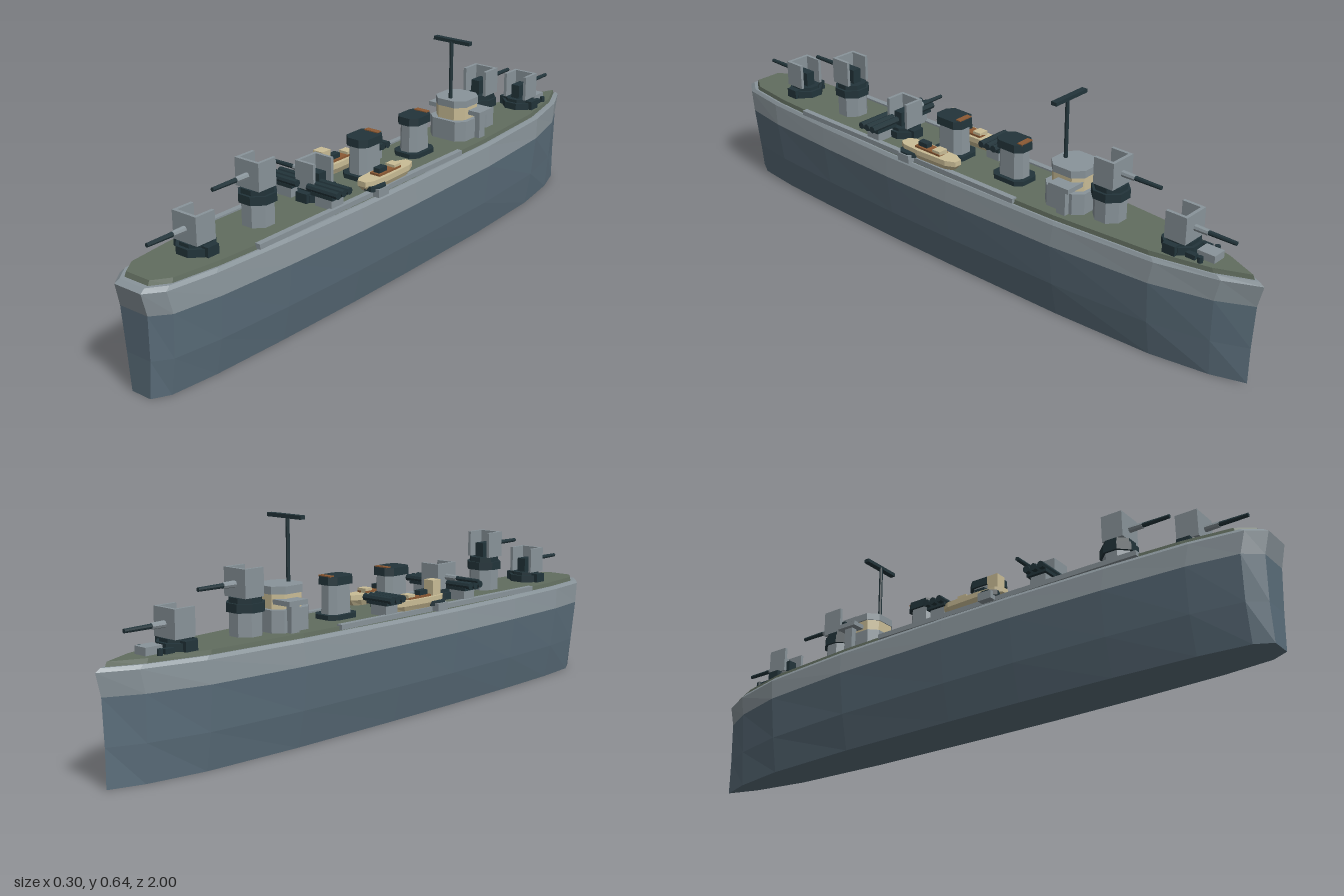
import * as THREE from 'three';

const mat = (name, color) => {
  const m = new THREE.MeshStandardMaterial({ color, flatShading: true });
  m.name = name;
  return m;
};

export function createModel() {
  const hullBlue = mat('hullBlue', 0x5b6e7b);
  const grey = mat('shipGrey', 0x89949a);
  const green = mat('deckGreen', 0x616d5f);
  const dark = mat('darkSteel', 0x22343a);
  const cream = mat('cream', 0xcabd96);
  const brown = mat('brown', 0x8c5a34);

  const ship = new THREE.Group();
  ship.name = 'warship';
  ship.position.x = 0.02;

  const add = (parent, name, geo, material, x = 0, y = 0, z = 0) => {
    const m = new THREE.Mesh(geo, material);
    m.name = name;
    m.position.set(x, y, z);
    parent.add(m);
    return m;
  };
  // box given by its centre in x and z and its bottom and top heights
  const box = (parent, name, material, x, z, w, d, y0, y1) =>
    add(parent, name, new THREE.BoxGeometry(w, y1 - y0, d), material, x, (y0 + y1) / 2, z);
  const drum = (parent, name, material, r, y0, y1, z = 0, x = 0, sides = 8) => {
    const g = new THREE.CylinderGeometry(r, r, y1 - y0, sides);
    g.rotateY(Math.PI / sides);
    return add(parent, name, g, material, x, (y0 + y1) / 2, z);
  };

  // closed solid from one outline scaled at several levels [y, scaleX, scaleZ]
  const loft = (outline, levels) => {
    const n = outline.length, pos = [], idx = [];
    levels.forEach(([y, sx, sz]) => outline.forEach(([x, z]) => pos.push(x * sx, y, z * sz)));
    const low = pos.length / 3, top = low + 1, last = (levels.length - 1) * n;
    pos.push(0, levels[0][0], 0, 0, levels[levels.length - 1][0], 0);
    for (let i = 0; i < n; i++) {
      const j = (i + 1) % n;
      for (let k = 0; k < last; k += n) {
        idx.push(k + i, k + n + j, k + j, k + i, k + n + i, k + n + j);
      }
      idx.push(low, i, j, top, last + j, last + i);
    }
    const g = new THREE.BufferGeometry();
    g.setAttribute('position', new THREE.Float32BufferAttribute(pos, 3));
    g.setIndex(idx);
    const flat = g.toNonIndexed();
    flat.computeVertexNormals();
    return flat;
  };
  const mirrored = (half) => [
    ...half, ...half.filter(([x]) => x > 0).reverse().map(([x, z]) => [-x, z]),
  ];
  // rectangle with cut corners
  const cutRect = (w, d, c) => mirrored([
    [w / 2 - c, -d / 2], [w / 2, -d / 2 + c], [w / 2, d / 2 - c], [w / 2 - c, d / 2],
  ]);

  // hull, bow towards -z
  const plan = mirrored([
    [0, -1], [0.05, -0.9], [0.096, -0.72], [0.122, -0.4], [0.131, 0], [0.132, 0.25],
    [0.125, 0.55], [0.112, 0.8], [0.09, 0.95], [0.05, 1],
  ]);
  add(ship, 'lowerHull', loft(plan, [[0, 0.67, 0.98], [0.11, 0.87, 0.98], [0.24, 1, 0.985]]), hullBlue);
  add(ship, 'upperHull', loft(plan, [[0.24, 1, 0.985], [0.305, 0.95, 1], [0.315, 0.9, 0.985]]), grey);
  add(ship, 'deck', loft(plan, [[0.312, 0.86, 0.972], [0.328, 0.84, 0.965]]), green);

  // gun with a three-sided shield, pointing along its own +z
  const gun = (name, z, raised, turn) => {
    const g = new THREE.Group();
    g.name = name;
    g.position.z = z;
    g.rotation.y = turn;
    ship.add(g);
    const y = raised ? 0.435 : 0.36;
    if (raised) {
      drum(g, 'barbette', grey, 0.048, 0.325, 0.4);
      drum(g, 'barbetteRing', dark, 0.056, 0.395, 0.42);
      drum(g, 'turntable', dark, 0.048, 0.42, y);
    } else {
      drum(g, 'turntable', dark, 0.056, 0.325, 0.35);
      drum(g, 'turntableTop', dark, 0.046, 0.35, y);
      for (const s of [-1, 1]) box(g, 'locker', dark, s * 0.05, 0, 0.026, 0.04, 0.325, 0.356);
    }
    box(g, 'shieldFront', grey, 0, 0.033, 0.086, 0.01, y, y + 0.08);
    for (const s of [-1, 1]) box(g, 'shieldSide', grey, s * 0.038, 0, 0.01, 0.058, y, y + 0.08);
    box(g, 'breech', dark, 0, 0, 0.03, 0.05, y, y + 0.045);
    const barrel = new THREE.CylinderGeometry(0.006, 0.008, 0.155, 8).rotateX(Math.PI / 2);
    add(g, 'barrel', barrel, dark, 0, y + 0.037, 0.0875);
    const sleeve = new THREE.CylinderGeometry(0.009, 0.01, 0.05, 8).rotateX(Math.PI / 2);
    add(g, 'barrelSleeve', sleeve, grey, 0, y + 0.037, 0.055);
  };
  gun('sternGun', 0.765, false, 0);
  gun('raisedSternGun', 0.535, true, 0);
  gun('midshipGun', 0.3, false, -Math.PI / 2);
  gun('raisedBowGun', -0.505, true, Math.PI);
  gun('bowGun', -0.745, false, Math.PI);

  // torpedo banks, three tubes lying across the deck
  for (const [x, z] of [[-0.075, 0.33], [0.075, 0.33], [-0.075, -0.03]]) {
    const bank = new THREE.Group();
    bank.name = 'torpedoBank';
    bank.position.set(x, 0, z);
    ship.add(bank);
    box(bank, 'bankBase', grey, 0, 0, 0.06, 0.05, 0.322, 0.362);
    box(bank, 'bankCradle', dark, 0, 0, 0.08, 0.066, 0.36, 0.37);
    for (const k of [-1, 0, 1]) {
      const tube = new THREE.CylinderGeometry(0.011, 0.011, 0.11, 8).rotateZ(Math.PI / 2);
      add(bank, 'torpedoTube', tube, dark, 0, 0.377, k * 0.024);
    }
  }

  // funnels
  for (const [z, w, d] of [[0.083, 0.07, 0.095], [-0.157, 0.066, 0.09]]) {
    const f = new THREE.Group();
    f.name = 'funnel';
    f.position.z = z;
    ship.add(f);
    add(f, 'funnelFoot', loft(cutRect(w + 0.026, d + 0.026, 0.02), [[0.325, 1, 1], [0.342, 1, 1]]), dark);
    add(f, 'funnelBody', loft(cutRect(w, d, 0.018), [[0.34, 1, 1], [0.43, 0.95, 0.95]]), grey);
    add(f, 'funnelCap', loft(cutRect(w + 0.012, d + 0.012, 0.02), [[0.428, 1, 1], [0.452, 0.97, 0.97]]), dark);
    box(f, 'funnelVent', brown, 0, -0.038, w * 0.7, 0.018, 0.45, 0.455);
  }

  // bridge
  const bridge = new THREE.Group();
  bridge.name = 'bridge';
  bridge.position.z = -0.38;
  ship.add(bridge);
  add(bridge, 'bridgeBase', loft(cutRect(0.136, 0.14, 0.025), [[0.325, 1, 1], [0.392, 1, 1]]), grey);
  add(bridge, 'wheelhouse', loft(cutRect(0.11, 0.115, 0.025), [[0.39, 1, 1], [0.435, 1, 1]]), cream);
  add(bridge, 'bridgeRoof', loft(cutRect(0.118, 0.12, 0.028), [[0.433, 1, 1], [0.455, 1, 1]]), grey);
  box(bridge, 'bridgeWings', grey, 0, -0.02, 0.196, 0.07, 0.406, 0.42);
  for (const s of [-1, 1]) box(bridge, 'wingSupport', grey, s * 0.075, -0.02, 0.02, 0.03, 0.326, 0.407);

  // mast with crossbar
  drum(ship, 'mast', dark, 0.006, 0.45, 0.638, -0.345);
  box(ship, 'mastCrossbar', dark, 0, -0.351, 0.133, 0.018, 0.634, 0.645);

  // boats, sponsons and walkways on both sides
  for (const s of [-1, 1]) {
    const side = new THREE.Group();
    side.name = s > 0 ? 'leftFittings' : 'rightFittings';
    ship.add(side);
    const boat = new THREE.Group();
    boat.name = 'boat';
    boat.position.set(s * 0.088, 0, 0.095);
    side.add(boat);
    const boatPlan = mirrored([
      [0.012, -0.11], [0.026, -0.08], [0.03, 0.03], [0.026, 0.09], [0.014, 0.11],
    ]);
    add(boat, 'boatHull', loft(boatPlan, [[0.33, 0.7, 0.85], [0.348, 1, 1], [0.364, 1, 1]]), cream);
    box(boat, 'boatInside', brown, 0, 0.0, 0.036, 0.1, 0.36, 0.37);
    box(boat, 'boatCabin', cream, 0, -0.035, 0.032, 0.03, 0.36, 0.378);
    box(boat, 'boatEngine', dark, 0, 0.025, 0.022, 0.035, 0.36, 0.384);
    box(side, 'sponson', grey, s * 0.108, 0.165, 0.06, 0.045, 0.32, 0.345);
    drum(side, 'sponsonRim', dark, 0.034, 0.335, 0.35, 0.165, s * 0.103);
    box(side, 'walkway', grey, s * 0.106, 0.2, 0.018, 0.9, 0.318, 0.333);
    // bow fittings
    drum(side, 'bollard', dark, 0.008, 0.325, 0.345, -0.83, s * 0.04);
    box(side, 'winch', dark, s * 0.035, -0.8, 0.016, 0.03, 0.325, 0.342);
  }
  box(ship, 'lookoutBox', cream, -0.088, 0.172, 0.036, 0.036, 0.36, 0.41);
  box(ship, 'bowHatch', grey, 0, -0.835, 0.045, 0.055, 0.325, 0.35);

  const model = new THREE.Group();
  model.name = 'model';
  model.add(ship);
  return model;
}
